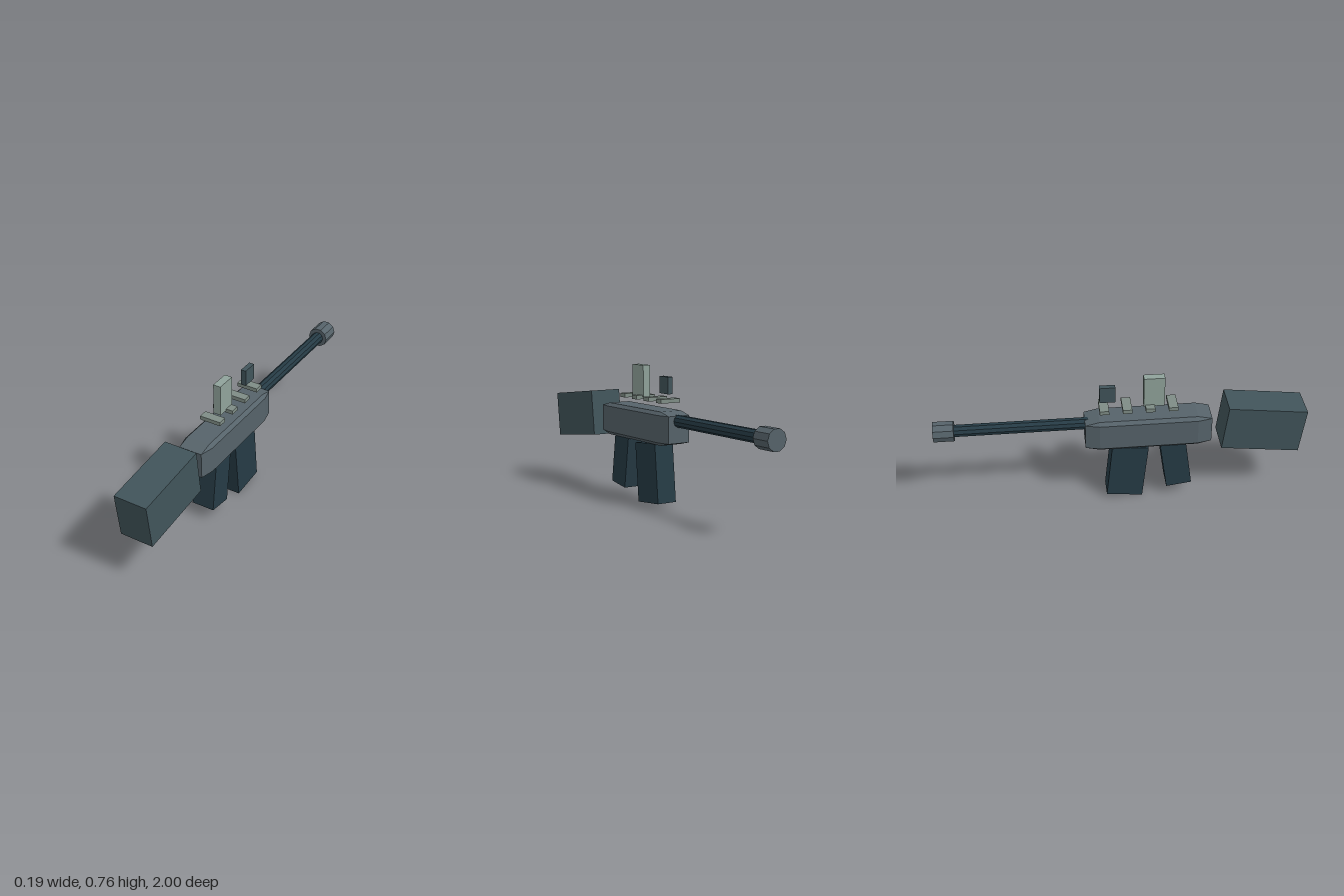
import * as THREE from 'three';
import { ConvexGeometry } from 'three/addons/geometries/ConvexGeometry.js';

const material = (color) => new THREE.MeshStandardMaterial({ color, flatShading: true });
const steel = material(0x56636a);
const dark = material(0x263b45);
const slate = material(0x41545a);
const pale = material(0x90a39b);
const rail = material(0x7f8d86);

export function createModel() {
  const model = new THREE.Group();

  const add = (name, geometry, mat, y, z, tilt = 0) => {
    const mesh = new THREE.Mesh(geometry, mat);
    mesh.name = name;
    mesh.position.set(0, y, z);
    mesh.rotation.x = tilt;
    model.add(mesh);
    return mesh;
  };
  const box = (name, w, h, d, mat, y, z, tilt) =>
    add(name, new THREE.BoxGeometry(w, h, d), mat, y, z, tilt);
  // Ten-sided rod along z, with a corner on the x axis
  const rod = (name, radius, zFront, zBack, mat) => {
    const g = new THREE.CylinderGeometry(radius, radius, zFront - zBack, 10, 1, false, Math.PI / 2);
    g.rotateX(Math.PI / 2);
    return add(name, g, mat, 0.486, (zFront + zBack) / 2);
  };

  // Receiver: a box with all edges chamfered, long at the two ends
  const points = [];
  for (const sx of [-1, 1]) for (const sy of [-1, 1]) for (const sz of [-1, 1]) {
    points.push(
      new THREE.Vector3(sx * 0.065, sy * 0.073, sz * 0.342),
      new THREE.Vector3(sx * 0.065, sy * 0.091, sz * 0.265),
      new THREE.Vector3(sx * 0.083, sy * 0.073, sz * 0.265));
  }
  add('receiver', new ConvexGeometry(points), steel, 0.441, 0.147);

  // Barrel and muzzle
  rod('barrel', 0.034, -0.15, -0.9, dark);
  rod('muzzle', 0.057, -0.89, -1, steel);

  // Tilted blocks: stock, grip and magazine
  box('stock', 0.187, 0.258, 0.432, slate, 0.435, 0.772, 0.117);
  box('grip', 0.13, 0.32, 0.141, dark, 0.231, 0.298, -0.14);
  box('magazine', 0.116, 0.33, 0.199, dark, 0.18, 0.033, 0.098);

  // Rail bars and the two sights above them
  for (let i = 0; i < 4; i++) {
    box('railBar', 0.12, 0.022, 0.05, rail, 0.586, 0.278 - i * 0.123);
  }
  box('rearSight', 0.043, 0.174, 0.112, pale, 0.675, 0.178);
  box('frontSight', 0.029, 0.092, 0.085, slate, 0.668, -0.071);

  return model;
}
